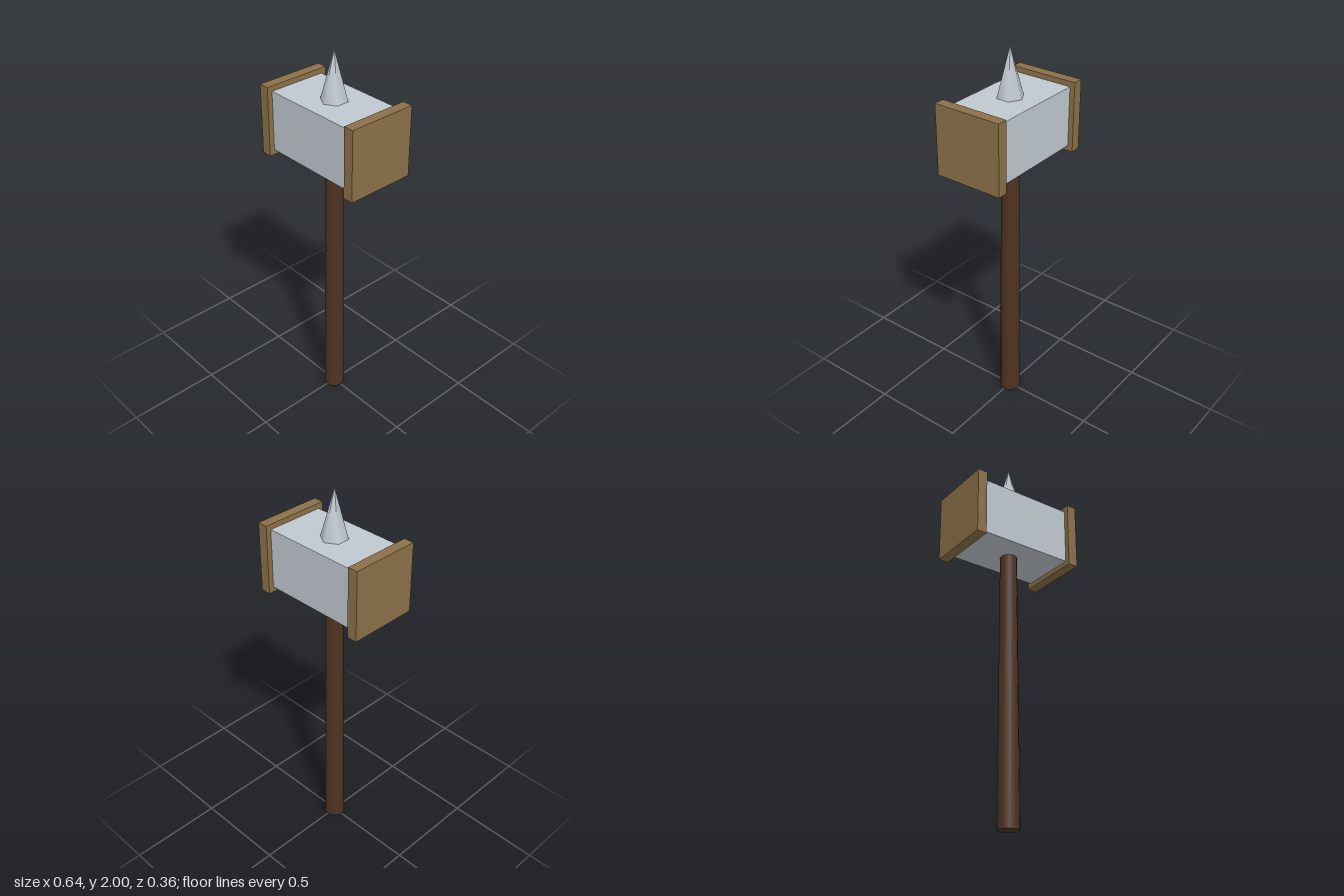
import * as THREE from 'three';

export function createModel() {
  const group = new THREE.Group();
  const steel = new THREE.MeshStandardMaterial({ color: 0xc0c8d0 });
  const brass = new THREE.MeshStandardMaterial({ color: 0x8b7048 });
  const wood = new THREE.MeshStandardMaterial({ color: 0x4e3222 });

  const add = (name, geometry, material, x, y) => {
    const mesh = new THREE.Mesh(geometry, material);
    mesh.name = name;
    mesh.position.set(x, y, 0);
    group.add(mesh);
  };

  // Tapered handle, running a little way into the head
  add('handle', new THREE.CylinderGeometry(0.045, 0.055, 1.46, 12), wood, 0, 0.73);

  // Hammer head
  add('headBlock', new THREE.BoxGeometry(0.53, 0.31, 0.31), steel, 0, 1.595);

  // Striking plates on both ends
  for (const [name, side] of [['leftPlate', 1], ['rightPlate', -1]]) {
    add(name, new THREE.BoxGeometry(0.054, 0.364, 0.364), brass, side * 0.291, 1.595);
  }

  // Six-sided spike on top
  add('topSpike', new THREE.ConeGeometry(0.068, 0.25, 6), steel, 0, 1.875);

  return group;
}
